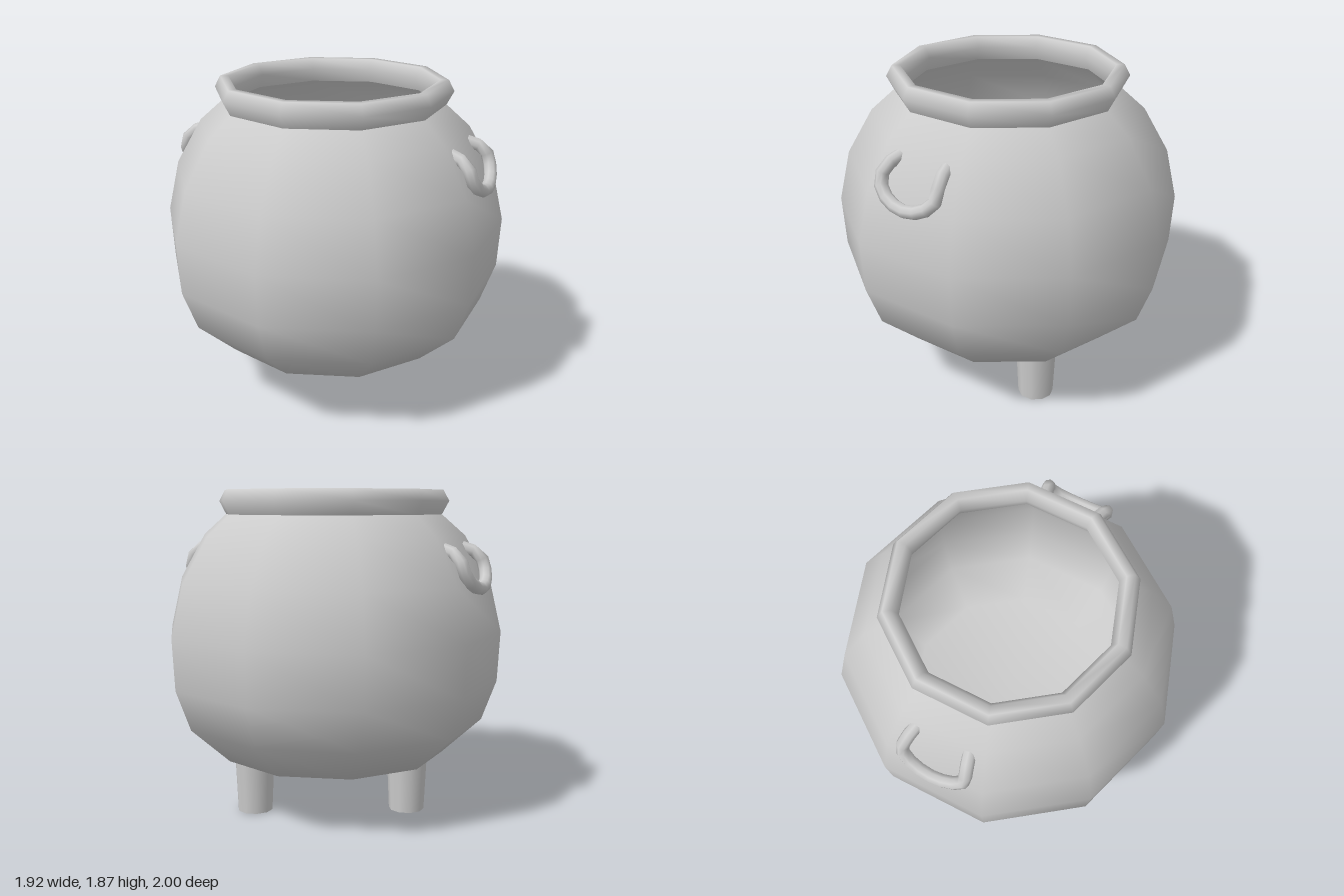
import * as THREE from 'three';

const material = new THREE.MeshStandardMaterial({ color: 0xcccccc });
const SIDES = 10;

function addMesh(parent, name, geometry) {
  const mesh = new THREE.Mesh(geometry, material);
  mesh.name = name;
  parent.add(mesh);
  return mesh;
}

function lathe(profile) {
  return new THREE.LatheGeometry(profile.map(([r, y]) => new THREE.Vector2(r, y)), SIDES);
}

export function createModel() {
  const pot = new THREE.Group();
  pot.name = 'cauldron';

  // Outer belly, from the centre of the underside up to the neck
  addMesh(pot, 'belly', lathe([
    [0, 0.31], [0.67, 0.31], [0.9, 0.52], [0.985, 0.755], [1, 1.05],
    [0.93, 1.35], [0.78, 1.61], [0.645, 1.73],
  ]));

  // Rounded rim around the mouth
  addMesh(pot, 'rim', lathe([
    [0.645, 1.73], [0.686, 1.807], [0.652, 1.87], [0.605, 1.87], [0.572, 1.81], [0.6, 1.73],
  ]));

  // Hollow inside, from the mouth down to the floor
  addMesh(pot, 'inside', lathe([
    [0.6, 1.73], [0.74, 1.58], [0.89, 1.33], [0.955, 1.05], [0.94, 0.77],
    [0.86, 0.55], [0.64, 0.35], [0, 0.35],
  ]));

  // Tapered legs
  for (const [x, z] of [[-0.494, 0], [0.302, -0.415]]) {
    const leg = addMesh(pot, 'leg', new THREE.CylinderGeometry(0.118, 0.103, 0.33, SIDES));
    leg.position.set(x, 0.165, z);
  }

  // Drooping loop handles whose ends sink into the belly
  const half = [[0.75, 1.545, 0.155], [0.85, 1.505, 0.18], [0.885, 1.42, 0.183], [0.91, 1.355, 0.115]];
  const path = [
    ...half,
    [0.922, 1.328, 0],
    ...half.map(([x, y, z]) => [x, y, -z]).reverse(),
  ].map((p) => new THREE.Vector3(...p));
  const loop = new THREE.TubeGeometry(new THREE.CatmullRomCurve3(path), 12, 0.037, 8);
  addMesh(pot, 'leftHandle', loop);
  addMesh(pot, 'rightHandle', loop).rotation.y = Math.PI;

  return pot;
}
